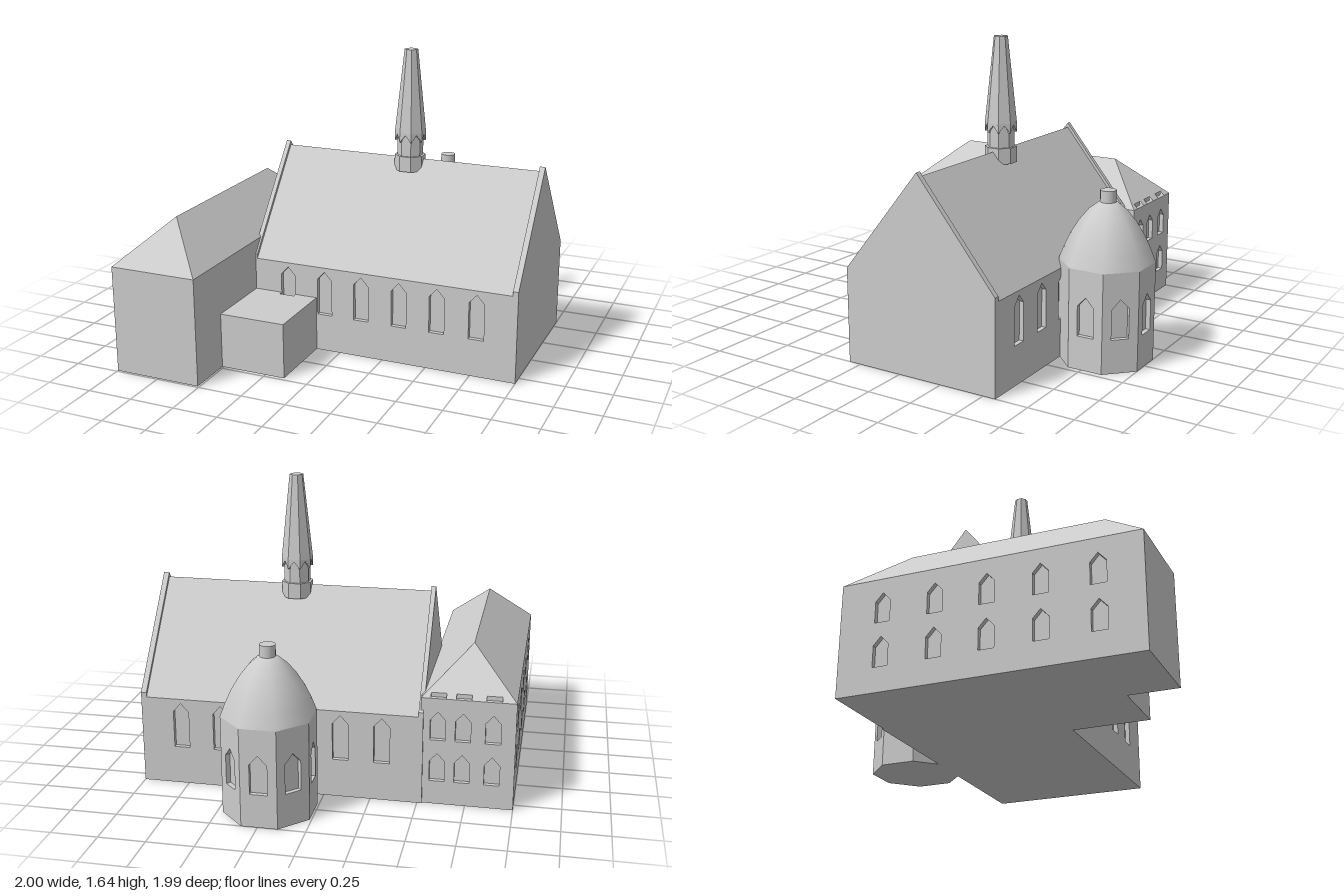
import * as THREE from 'three';

const stone = new THREE.MeshStandardMaterial({ color: 0xcccccc });
stone.name = 'pale stone';
const DEPTH = 0.025; // window recess

function add(parent, name, geometry, x = 0, y = 0, z = 0, turn = 0) {
  const mesh = new THREE.Mesh(geometry, stone);
  mesh.name = name;
  mesh.position.set(x, y, z);
  mesh.rotation.y = turn;
  parent.add(mesh);
  return mesh;
}

function box(parent, name, x0, x1, y0, y1, z0, z1) {
  return add(parent, name, new THREE.BoxGeometry(x1 - x0, y1 - y0, z1 - z0),
    (x0 + x1) / 2, (y0 + y1) / 2, (z0 + z1) / 2);
}

const polygon = (pts) => new THREE.Shape(pts.map(([x, y]) => new THREE.Vector2(x, y)));

// Shape extruded from z = -depth to z = 0
function extrude(shape, depth) {
  const g = new THREE.ExtrudeGeometry(shape, { depth, bevelEnabled: false });
  return g.translate(0, 0, -depth);
}

// Wall slab pierced by pointed windows [centreX, sill, width, height]
function panel(x0, x1, top, windows) {
  const shape = polygon([[x0, 0], [x1, 0], [x1, top], [x0, top]]);
  for (const [x, y, w, h] of windows) {
    const s = y + h - w * 0.55;
    shape.holes.push(polygon([[x - w / 2, y], [x - w / 2, s], [x, y + h], [x + w / 2, s], [x + w / 2, y]]));
  }
  return extrude(shape, DEPTH);
}

// Octagonal prism with flat faces towards the axes; sizes are across-flats halves
const C8 = Math.cos(Math.PI / 8);
const T8 = Math.tan(Math.PI / 8);
function octagon(bottom, top, y0, y1) {
  const g = new THREE.CylinderGeometry(top / C8, bottom / C8, y1 - y0, 8, 1, false, Math.PI / 8).toNonIndexed();
  g.computeVertexNormals();
  return g.translate(0, (y0 + y1) / 2, 0);
}

function makeNave() {
  const nave = new THREE.Group();
  nave.name = 'nave';
  const mid = -0.125;
  // Profile is drawn in (-z, y) and extruded along x
  const along = (name, pts, x0, x1) =>
    add(nave, name, extrude(polygon(pts.map(([z, y]) => [-z, y])), x1 - x0), x1, 0, 0, Math.PI / 2);
  along('naveBody', [[0.295, 0], [0.295, 0.475], [0.32, 0.485], [mid, 1.035], [-0.57, 0.485],
    [-0.545, 0.475], [-0.545, 0]].reverse(), -0.505, 0.985);
  const gable = [[0.32, 0], [0.32, 0.51], [mid, 1.06], [-0.57, 0.51], [-0.57, 0]].reverse();
  along('eastGable', gable, 0.97, 1);
  along('westGable', gable, -0.525, -0.5);
  // Windowed long walls
  const xs = [-0.31, -0.09, 0.125, 0.345, 0.56, 0.78];
  add(nave, 'naveFrontWall', panel(-0.51, 0.98, 0.485, xs.map((x) => [x, 0.21, 0.085, 0.25])), 0, 0, 0.32);
  add(nave, 'naveBackWall', panel(-0.98, 0.51, 0.485, xs.map((x) => [-x, 0.21, 0.085, 0.25])), 0, 0, -0.57, Math.PI);
  return nave;
}

function makeWing() {
  const wing = new THREE.Group();
  wing.name = 'sideWing';
  const L = -1, R = -0.51, B = -0.56, F = 0.99, eave = 0.59, ridge = 0.82, mid = -0.755;
  box(wing, 'wingBody', L + DEPTH, R, 0, eave, B + DEPTH, F);
  const backX = [-0.885, -0.73, -0.6];
  const rows = [0.13, 0.36];
  const windows = (list) => rows.flatMap((y) => list.map((x) => [x, y, 0.08, 0.155]));
  add(wing, 'wingBackWall', panel(-R, -L, eave, windows(backX.map((x) => -x))), 0, 0, B, Math.PI);
  add(wing, 'wingSideWall', panel(B + DEPTH, F, eave, windows([-0.33, -0.05, 0.22, 0.49, 0.77])), L, 0, 0, -Math.PI / 2);

  // Hipped roof: two long slopes and the front hip
  const a = [L, eave, B], b = [R, eave, B], c = [R, eave, F], d = [L, eave, F];
  const p = [mid, ridge, -0.31], q = [mid, ridge, 0.73];
  const roof = new THREE.BufferGeometry();
  roof.setAttribute('position', new THREE.Float32BufferAttribute(
    [a, d, q, a, q, p, c, b, p, c, p, q, d, c, q].flat(), 3));
  roof.computeVertexNormals();
  add(wing, 'wingRoof', roof);

  // Back hip with notches along the eave
  const notch = DEPTH / 0.25;
  const outline = [[-R, 0], [-mid, 1], [-L, 0]].reverse();
  const pts = [outline[1], outline[2]];
  for (const x of [...backX].reverse()) {
    pts.push([-x - 0.04, 0], [-x - 0.04, notch], [-x + 0.04, notch], [-x + 0.04, 0]);
    box(wing, 'eaveNotchBack', x - 0.04, x + 0.04, eave, eave + notch * (ridge - eave), B + DEPTH, B + DEPTH + 0.01);
  }
  pts.push(outline[0]);
  const hip = new THREE.ShapeGeometry(polygon(pts));
  const pos = hip.attributes.position;
  for (let i = 0; i < pos.count; i++) {
    const s = pos.getY(i);
    pos.setXYZ(i, -pos.getX(i), eave + s * (ridge - eave), B + s * 0.25);
  }
  hip.computeVertexNormals();
  add(wing, 'wingBackHip', hip);
  return wing;
}

function makeAnnex() {
  const annex = new THREE.Group();
  annex.name = 'annex';
  box(annex, 'annexBase', -0.51, -0.14, 0, 0.21, 0.32, 0.73);
  // Upper part leaves a slot in front of the nave window
  box(annex, 'annexTop', -0.51, -0.14, 0.21, 0.305, 0.345, 0.73);
  box(annex, 'annexTopLeft', -0.267, -0.14, 0.21, 0.305, 0.32, 0.345);
  box(annex, 'annexTopRight', -0.51, -0.353, 0.21, 0.305, 0.32, 0.345);
  return annex;
}

function makeTurret() {
  const turret = new THREE.Group();
  turret.name = 'domedTurret';
  const A = 0.23, wall = 0.53;
  add(turret, 'turretCore', octagon(A - DEPTH, A - DEPTH, 0, wall));
  for (let k = 0; k < 8; k++) {
    const t = k * Math.PI / 4;
    const windows = k >= 2 && k <= 6 ? [[0, 0.18, 0.092, 0.21]] : [];
    add(turret, 'turretWall', panel(-A * T8, A * T8, wall, windows), A * Math.sin(t), 0, A * Math.cos(t), t);
  }
  const profile = [[A, wall], [0.205, 0.6], [0.175, 0.67], [0.135, 0.74], [0.09, 0.8], [0.045, 0.838], [0, 0.84]]
    .map(([r, y]) => new THREE.Vector2(r / C8, y));
  add(turret, 'dome', new THREE.LatheGeometry(profile, 8, Math.PI / 8));
  add(turret, 'domeCap', new THREE.CylinderGeometry(0.042, 0.042, 0.08, 16), 0, 0.86, 0);
  turret.position.set(0.24, 0, -0.77);
  return turret;
}

function makeSpire() {
  const spire = new THREE.Group();
  spire.name = 'spire';
  const A = 0.079, w = A * T8;
  add(spire, 'spireBase', octagon(A, A, 0.97, 1.055));
  add(spire, 'spireCore', octagon(0.066, 0.066, 1.05, 1.19));
  add(spire, 'spireTaper', octagon(A, 0.034, 1.185, 1.64));
  // Pointed arch heads over each opening
  const head = polygon([[-w, 1.135], [0, 1.175], [w, 1.135], [w, 1.186], [-w, 1.186]]);
  for (let k = 0; k < 8; k++) {
    const t = k * Math.PI / 4;
    add(spire, 'archHead', extrude(head, 0.014), A * Math.sin(t), 0, A * Math.cos(t), t);
  }
  spire.position.set(0.235, 0, -0.125);
  return spire;
}

export function createModel() {
  const church = new THREE.Group();
  church.name = 'church';
  church.add(makeNave(), makeWing(), makeAnnex(), makeTurret(), makeSpire());
  return church;
}
